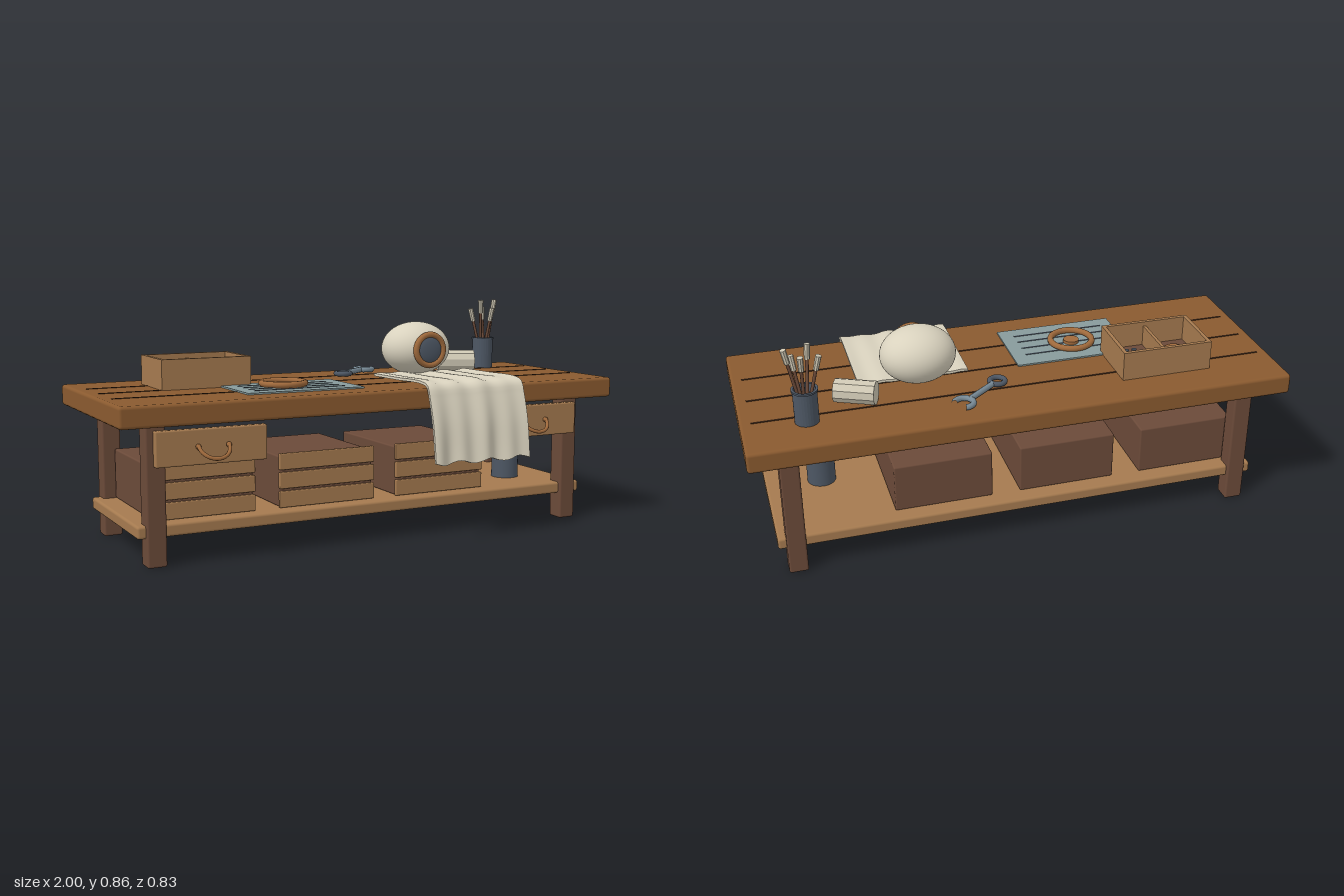
import * as THREE from 'three';
import { RoundedBoxGeometry } from 'three/addons/geometries/RoundedBoxGeometry.js';

const mat = (name, color, extra = {}) => Object.assign(new THREE.MeshStandardMaterial({ color, ...extra }), { name });

export function createModel() {
  const topWood = mat('top wood', 0x8a5a2f);
  const paleWood = mat('pale wood', 0xa57a4f);
  const darkWood = mat('dark wood', 0x6b4a39);
  const groove = mat('groove', 0x3a2415);
  const slate = mat('slate metal', 0x4d5764);
  const steel = mat('steel', 0x788a96);
  const paper = mat('blue paper', 0x879b9c);
  const cream = mat('cream', 0xd9d2be);
  const copper = mat('copper', 0xa06a3c);
  const bristle = mat('bristle', 0xcfc8b4, { flatShading: true });

  const model = new THREE.Group();
  const TOP = 0.567;

  const add = (name, geo, material, x = 0, y = 0, z = 0, parent = model) => {
    const m = new THREE.Mesh(geo, material);
    m.name = name;
    m.position.set(x, y, z);
    parent.add(m);
    return m;
  };
  // box given by its extents, with optional rounded edges
  const box = (name, material, [x0, x1], [y0, y1], [z0, z1], r = 0) => {
    const w = x1 - x0, h = y1 - y0, d = z1 - z0;
    const geo = r ? new RoundedBoxGeometry(w, h, d, 2, r) : new THREE.BoxGeometry(w, h, d);
    return add(name, geo, material, (x0 + x1) / 2, (y0 + y1) / 2, (z0 + z1) / 2);
  };
  // ring lying flat
  const flatRing = (name, material, R, t, x, y, z) => {
    const m = add(name, new THREE.TorusGeometry(R, t, 10, 32), material, x, y, z);
    m.rotation.x = -Math.PI / 2;
    return m;
  };
  // straight rod between two points
  const rod = (name, material, a, b, r0, r1, sides = 8) => {
    const dir = b.clone().sub(a);
    const m = add(name, new THREE.CylinderGeometry(r1, r0, dir.length(), sides), material);
    m.position.copy(a).add(b).multiplyScalar(0.5);
    m.quaternion.setFromUnitVectors(new THREE.Vector3(0, 1, 0), dir.normalize());
    return m;
  };

  // Bench frame
  box('benchTop', topWood, [-1, 1], [0.49, TOP], [-0.41, 0.335], 0.012);
  box('shelf', paleWood, [-0.92, 0.92], [0.1, 0.145], [-0.32, 0.245], 0.01);
  for (const z of [-0.205, -0.045, 0.12])
    box('plankGroove', groove, [-0.96, 0.96], [TOP - 0.003, TOP + 0.002], [z - 0.004, z + 0.004]);
  for (const s of [-1, 1]) {
    for (const z of [0.225, -0.3])
      box('leg', darkWood, [s * 0.855 - 0.035, s * 0.855 + 0.035], [0, 0.495], [z - 0.035, z + 0.035], 0.008);

    // Drawer front with a hanging handle
    box('drawerFront', paleWood, [s * 0.662 - 0.202, s * 0.662 + 0.202], [0.347, 0.471], [0.258, 0.287], 0.006);
    const handle = add('drawerHandle', new THREE.TorusGeometry(0.055, 0.007, 8, 20, Math.PI), copper, s * 0.66, 0.411, 0.297);
    handle.rotation.set(-0.8, 0, Math.PI);
    for (const e of [-1, 1])
      add('handleKnob', new THREE.SphereGeometry(0.01, 10, 8), copper, s * 0.66 + e * 0.055, 0.411, 0.293);
  }

  // Crates with slatted fronts
  for (const x of [-0.66, -0.182, 0.295]) {
    box('crate', darkWood, [x - 0.185, x + 0.185], [0.146, 0.332], [-0.262, 0.188], 0.006);
    for (const y of [0.147, 0.216, 0.285])
      box('crateSlat', paleWood, [x - 0.192, x + 0.192], [y, y + 0.06], [0.18, 0.196], 0.004);
  }

  // Canister on the shelf
  add('canister', new THREE.CylinderGeometry(0.054, 0.054, 0.17, 24), slate, 0.708, 0.23, 0.031);

  // Parts tray
  box('trayFloor', darkWood, [-0.725, -0.39], [TOP, TOP + 0.015], [-0.27, -0.04]);
  for (const z of [-0.275, -0.05]) box('trayWall', paleWood, [-0.73, -0.385], [TOP, 0.678], [z, z + 0.014]);
  for (const x of [-0.73, -0.399]) box('traySide', paleWood, [x, x + 0.014], [TOP, 0.678], [-0.265, -0.045]);
  box('trayDivider', paleWood, [-0.562, -0.55], [TOP, 0.66], [-0.265, -0.045]);
  flatRing('trayRing', copper, 0.04, 0.01, -0.64, 0.593, -0.155);
  add('trayHub', new THREE.CylinderGeometry(0.016, 0.016, 0.015, 16), copper, -0.64, 0.59, -0.155);
  for (const x of [-0.493, -0.462]) for (const z of [-0.185, -0.147, -0.108])
    add('screw', new THREE.CylinderGeometry(0.01, 0.01, 0.018, 10), slate, x, 0.59, z);

  // Plan sheet with ruled lines and a wheel on it
  box('planSheet', paper, [-0.505, -0.047], [TOP, TOP + 0.006], [-0.065, 0.225]);
  for (const z of [0.01, 0.064, 0.118, 0.168])
    box('planLine', slate, [-0.458, -0.1], [TOP + 0.006, TOP + 0.008], [z - 0.003, z + 0.003]);
  flatRing('wheelRim', copper, 0.08, 0.012, -0.3, 0.584, 0.065);
  add('wheelHub', new THREE.CylinderGeometry(0.03, 0.03, 0.012, 24), copper, -0.3, 0.58, 0.065);

  // Spanner: closed ring, shaft and open jaw
  const ringEnd = new THREE.Vector3(0.065, 0.58, -0.17), jawEnd = new THREE.Vector3(0.222, 0.58, -0.292);
  const along = jawEnd.clone().sub(ringEnd).normalize();
  const angle = Math.atan2(-along.z, along.x);
  flatRing('spannerRing', slate, 0.028, 0.01, ringEnd.x, ringEnd.y, ringEnd.z);
  rod('spannerShaft', steel, ringEnd.clone().addScaledVector(along, 0.03), jawEnd.clone().addScaledVector(along, -0.03), 0.011, 0.011, 10);
  const jaw = add('spannerJaw', new THREE.TorusGeometry(0.034, 0.011, 10, 24, 4.6), steel, jawEnd.x, jawEnd.y, jawEnd.z);
  jaw.rotation.set(-Math.PI / 2, 0, angle + (Math.PI * 2 - 4.6) / 2);

  // Draped cloth: a thin slab bent along a profile, with folds that deepen downwards
  const profile = new THREE.CatmullRomCurve3(
    [[0.581, -0.062], [0.582, 0.12], [0.583, 0.3], [0.572, 0.343], [0.535, 0.358], [0.44, 0.383], [0.295, 0.402]]
      .map(([y, z]) => new THREE.Vector3(0, y, z)));
  const clothGeo = new THREE.BoxGeometry(0.412, 0.01, 1, 56, 1, 44);
  const p = clothGeo.attributes.position;
  for (let i = 0; i < p.count; i++) {
    const x = p.getX(i), t = p.getZ(i) + 0.5;
    const c = profile.getPointAt(t), d = profile.getTangentAt(t);
    const wave = Math.sin(x * 62 + 0.6) * 0.6 + Math.sin(x * 34 + t * 2) * 0.4;
    const off = p.getY(i) + wave * (0.004 + 0.007 * THREE.MathUtils.smoothstep(t, 0.55, 1));
    const hem = t * t * t * 0.007 * Math.sin(x * 48);
    p.setXYZ(i, 0.353 + x, c.y + d.z * off + hem, c.z - d.y * off);
  }
  clothGeo.computeVertexNormals();
  add('cloth', clothGeo, cream);

  // Round pod with a ringed porthole
  const pod = add('pod', new THREE.SphereGeometry(1, 40, 28), cream, 0.335, 0.679, -0.064);
  pod.scale.set(0.14, 0.105, 0.122);
  add('portholeRing', new THREE.TorusGeometry(0.06, 0.012, 12, 36), copper, 0.335, 0.679, 0.047);
  const pane = add('portholePane', new THREE.SphereGeometry(1, 28, 16), slate, 0.335, 0.679, 0.045);
  pane.scale.set(0.056, 0.056, 0.014);

  // Paper roll lying on its side
  const rollMid = new THREE.Vector3(0.583, TOP + 0.043, -0.158);
  const rollDir = new THREE.Vector3(0.068, 0, 0.031);
  rod('paperRoll', bristle, rollMid.clone().sub(rollDir), rollMid.clone().add(rollDir), 0.044, 0.044, 10);

  // Brush pot with an open top
  const potProfile = [[0, 0], [0.043, 0], [0.043, 0.122], [0.047, 0.122], [0.047, 0.129], [0.038, 0.129], [0.038, 0.09], [0, 0.09]];
  const flatPot = new THREE.LatheGeometry(potProfile.map(([x, y]) => new THREE.Vector2(x, y)), 28).toNonIndexed();
  flatPot.computeVertexNormals();
  add('brushPot', flatPot, slate, 0.77, TOP, -0.241);

  // Brushes fanning out of the pot
  const brushes = [[-0.044, -0.006, 0.765], [-0.019, 0.012, 0.8], [0.006, -0.012, 0.77], [0.028, 0.01, 0.765], [0.05, -0.004, 0.8]];
  for (const [dx, dz, y] of brushes) {
    const foot = new THREE.Vector3(0.77 + dx * 0.35, 0.64, -0.241 - dz * 0.5);
    const tip = new THREE.Vector3(0.77 + dx, y, -0.241 + dz);
    const dir = tip.clone().sub(foot).normalize();
    rod('brushHandle', darkWood, foot, tip, 0.006, 0.006);
    rod('brushTip', bristle, tip, tip.clone().addScaledVector(dir, 0.055), 0.01, 0.011);
  }

  return model;
}
